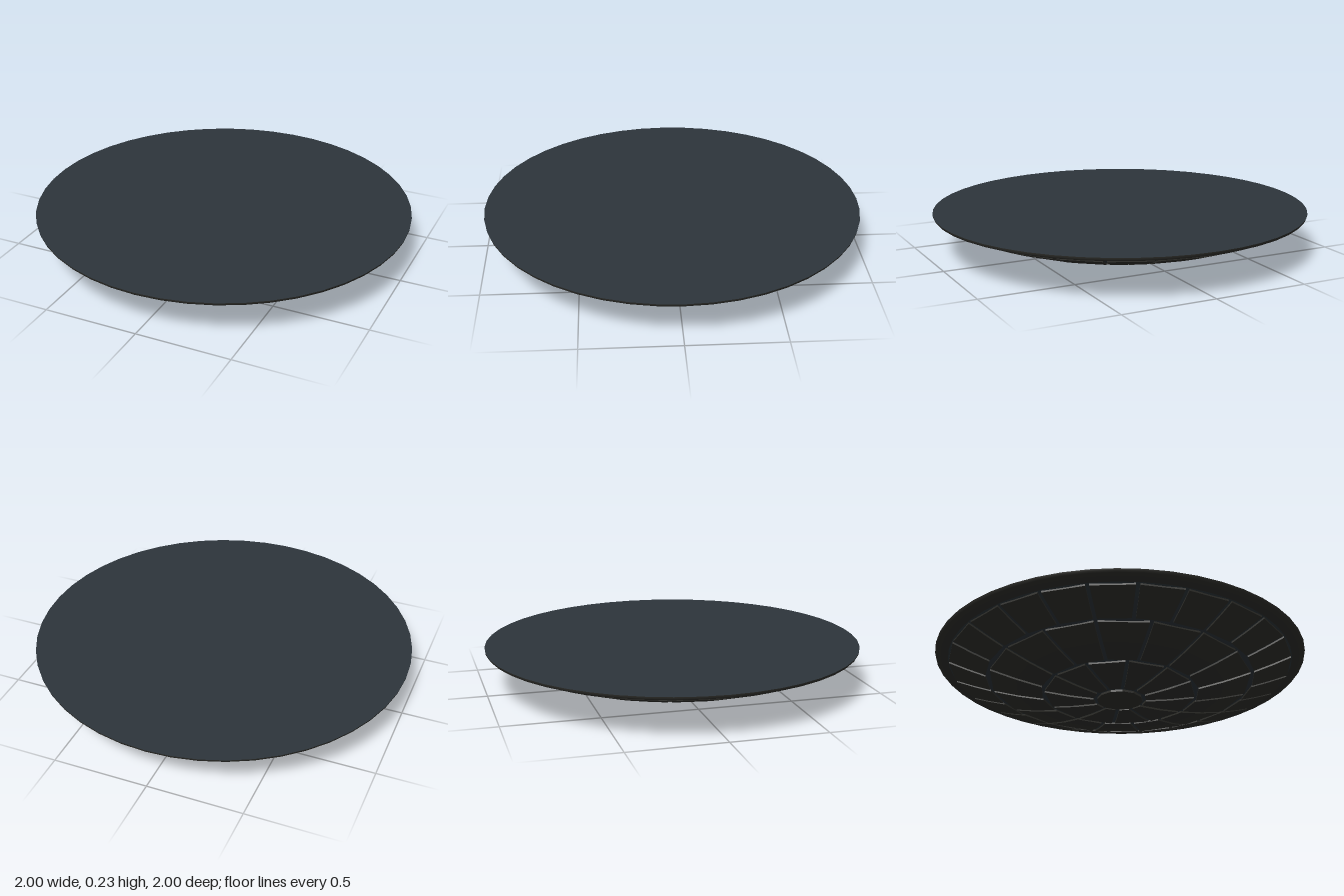
import * as THREE from 'three';

const SIDES = 48;
const SHELL_GAP = 0.01;

// Height of the curved underside at radius r
const bowl = (r) => 0.2186 * r * r;

// One tile: a box bent into a sector of the bowl
function tileGeometry(r0, r1, a0, a1) {
  const box = new THREE.BoxGeometry(1, 1, 1, 1, 1, 2);
  const p = box.attributes.position;
  for (let i = 0; i < p.count; i++) {
    const r = THREE.MathUtils.lerp(r0, r1, p.getZ(i) + 0.5);
    const trim = 0.01 / r; // half of the seam width, constant along the tile
    const a = THREE.MathUtils.lerp(a0 + trim, a1 - trim, p.getX(i) + 0.5);
    const y = bowl(r) + (p.getY(i) + 0.5) * SHELL_GAP;
    p.setXYZ(i, Math.sin(a) * r, y, Math.cos(a) * r);
  }
  const geometry = box.toNonIndexed();
  geometry.computeVertexNormals();
  return geometry;
}

export function createModel() {
  const group = new THREE.Group();
  const backing = new THREE.MeshStandardMaterial({ color: 0x2d353b });
  backing.name = 'blue grey backing';
  const charcoal = new THREE.MeshStandardMaterial({ color: 0x2f2f2b });
  charcoal.name = 'charcoal';
  const tileMaterial = new THREE.MeshStandardMaterial({ color: 0x2f2f2b, flatShading: true });
  tileMaterial.name = 'charcoal tile';

  const add = (name, geometry, material, parent = group) => {
    const mesh = new THREE.Mesh(geometry, material);
    mesh.name = name;
    parent.add(mesh);
    return mesh;
  };

  // Curved shell seen in the seams between tiles
  const shellProfile = [];
  for (let i = 0; i <= 10; i++) {
    const r = 0.093 * i;
    shellProfile.push(new THREE.Vector2(r, bowl(r) + SHELL_GAP));
  }
  add('shell', new THREE.LatheGeometry(shellProfile, SIDES), backing);

  // Rounded outer rim
  const rimProfile = [
    [0.93, bowl(0.93) + SHELL_GAP], [0.96, 0.205], [0.98, 0.209],
    [0.992, 0.214], [0.998, 0.221], [1, 0.23],
  ].map(([r, y]) => new THREE.Vector2(r, y));
  add('rim', new THREE.LatheGeometry(rimProfile, SIDES), charcoal);

  // Flat top
  const top = new THREE.CircleGeometry(1, SIDES).rotateX(-Math.PI / 2).translate(0, 0.23, 0);
  add('topFace', top, backing);

  // Centre tile
  const centre = new THREE.CylinderGeometry(0.122, 0.122, 0.012, 12).translate(0, 0.006, 0);
  add('centreTile', centre, tileMaterial);

  // Rings of tiles: inner radius, outer radius, count
  const rings = [[0.142, 0.405, 12], [0.425, 0.705, 16], [0.725, 0.925, 24]];
  rings.forEach(([r0, r1, count], n) => {
    const ring = new THREE.Group();
    ring.name = `tileRing${n + 1}`;
    const step = (Math.PI * 2) / count;
    for (let i = 0; i < count; i++) {
      const a = i * step - 0.02;
      add('tile', tileGeometry(r0, r1, a, a + step), tileMaterial, ring);
    }
    group.add(ring);
  });

  return group;
}
